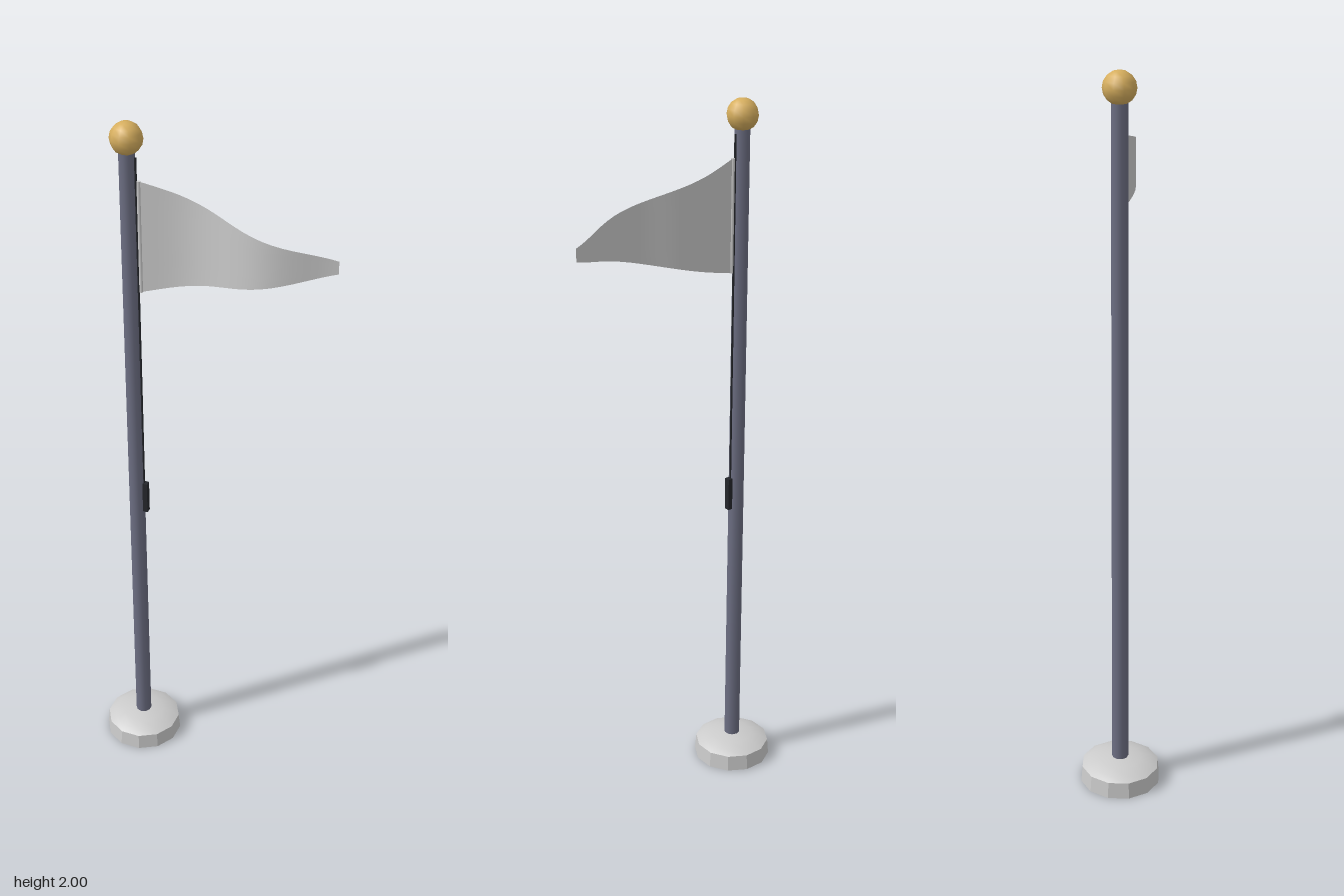
import * as THREE from 'three';
import { toCreasedNormals } from 'three/addons/utils/BufferGeometryUtils.js';

const POLE_X = -0.22;
const material = (color, extra = {}) => new THREE.MeshStandardMaterial({ color, ...extra });

function part(group, name, geometry, mat, x, y, z = 0) {
  const mesh = new THREE.Mesh(geometry, mat);
  mesh.name = name;
  mesh.position.set(x, y, z);
  group.add(mesh);
  return mesh;
}

// Tapering pennant whose ripple grows towards the tip
function pennantGeometry(length, hoist, tip) {
  const geometry = new THREE.PlaneGeometry(1, 1, 20, 4);
  const pos = geometry.attributes.position;
  for (let i = 0; i < pos.count; i++) {
    const t = pos.getX(i) + 0.5;
    const height = THREE.MathUtils.lerp(hoist, tip, t);
    const ripple = -(0.015 + 0.02 * t) * Math.sin(7.5 * t);
    pos.setXYZ(i, t * length, pos.getY(i) * height, ripple);
  }
  geometry.computeVertexNormals();
  return geometry;
}

export function createModel() {
  const model = new THREE.Group();
  model.name = 'flagpole';
  const grey = material(0xcccccc);
  const cloth = material(0xcccccc, { side: THREE.DoubleSide });
  const steel = material(0x6c6e82);
  const brass = material(0xd6ae5e);
  const dark = material(0x24262b);

  // Twelve-sided base with a shallow domed top
  const profile = [[0, 0], [0.113, 0], [0.109, 0.047], [0.09, 0.057], [0.06, 0.065], [0.03, 0.07], [0, 0.071]]
    .map(([r, y]) => new THREE.Vector2(r, y));
  const baseGeometry = toCreasedNormals(new THREE.LatheGeometry(profile, 12), 0.45);
  part(model, 'base', baseGeometry, grey, POLE_X, 0).rotation.y = Math.PI / 12;

  // Pole and ball finial
  part(model, 'pole', new THREE.CylinderGeometry(0.021, 0.023, 1.87, 10), steel, POLE_X, 0.995);
  part(model, 'finial', new THREE.SphereGeometry(0.043, 10, 8), brass, POLE_X, 1.957)
    .rotation.y = Math.PI / 2;

  // Pennant and its hoist sleeve
  part(model, 'pennant', pennantGeometry(0.52, 0.31, 0.035), cloth, -0.19, 1.692);
  part(model, 'hoistSleeve', new THREE.CylinderGeometry(0.005, 0.005, 0.31, 6), grey, -0.19, 1.692);

  // Halyard running from the truck down to the cleat
  const halyardPath = new THREE.LineCurve3(
    new THREE.Vector3(-0.198, 0.88, 0), new THREE.Vector3(-0.197, 1.91, 0));
  part(model, 'halyard', new THREE.TubeGeometry(halyardPath, 1, 0.003, 6), dark, 0, 0);

  // Cleat
  part(model, 'cleat', new THREE.BoxGeometry(0.018, 0.095, 0.016), dark, -0.195, 0.883);

  return model;
}
